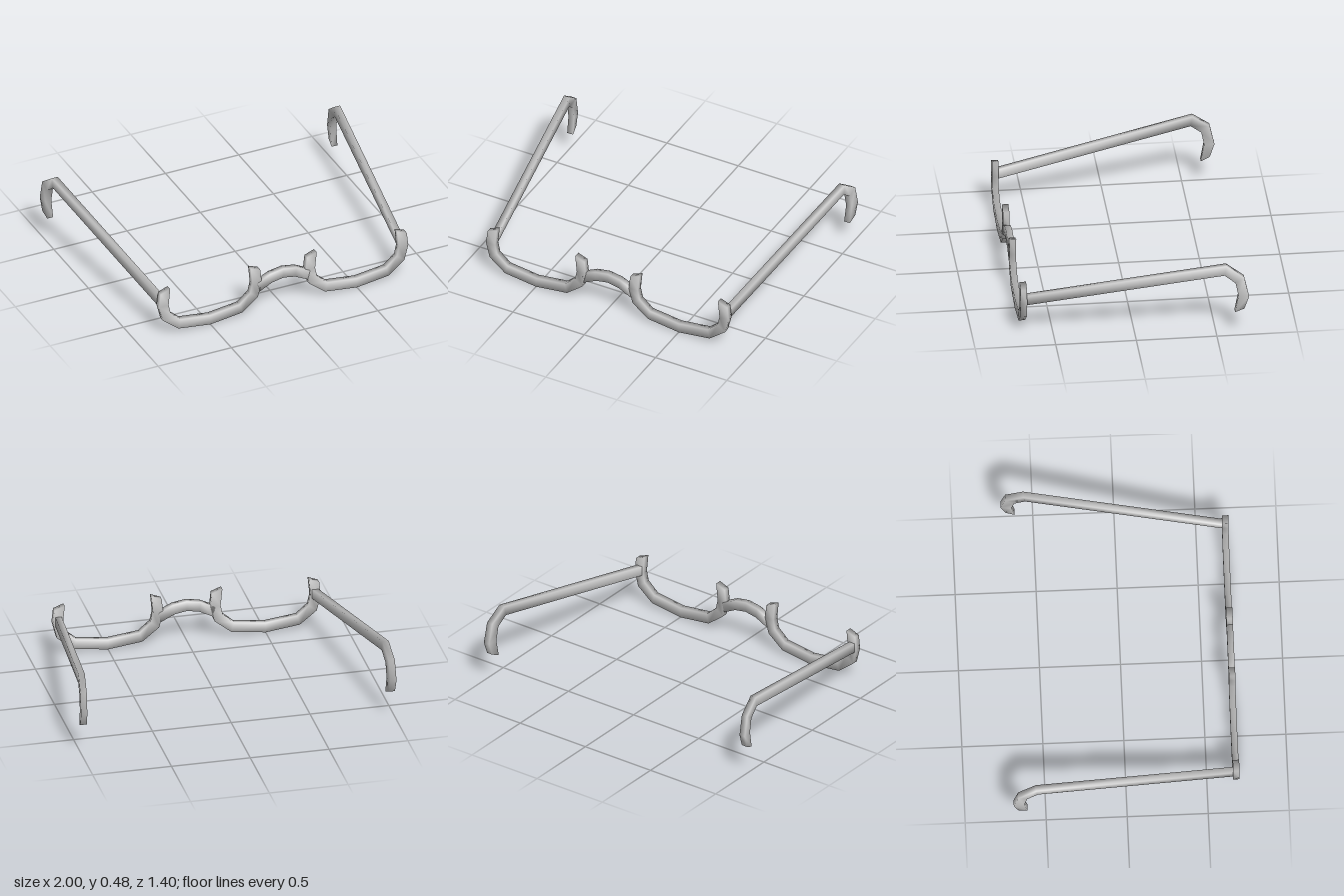
import * as THREE from 'three';

const metal = new THREE.MeshStandardMaterial({ color: 0xc8c8c8 });
metal.name = 'greyMetal';
const HALF = 0.02; // half thickness across the bending plane

// Square-cornered, smooth-shaded bar swept through stations [outerU, outerV, innerU, innerV];
// place(u, v, w) maps the bending plane and its normal w to x, y, z.
function bar(name, stations, place) {
  const pos = [], index = [];
  for (const [ou, ov, iu, iv] of stations) {
    pos.push(...place(ou, ov, -HALF), ...place(ou, ov, HALF));
    pos.push(...place(iu, iv, HALF), ...place(iu, iv, -HALF));
  }
  const quad = (a, b, c, d) => index.push(a, b, c, a, c, d);
  const last = (stations.length - 1) * 4;
  for (let a = 0; a < last; a += 4) {
    for (let j = 0; j < 4; j++) {
      const k = (j + 1) % 4;
      quad(a + j, a + k, a + 4 + k, a + 4 + j);
    }
  }
  // End caps
  quad(3, 2, 1, 0);
  quad(last, last + 1, last + 2, last + 3);

  // Turn the faces outward if the signed volume is negative
  let volume = 0;
  const p = (i) => new THREE.Vector3().fromArray(pos, i * 3);
  for (let i = 0; i < index.length; i += 3) {
    volume += p(index[i]).dot(p(index[i + 1]).cross(p(index[i + 2])));
  }
  if (volume < 0) index.reverse();

  const geo = new THREE.BufferGeometry();
  geo.setAttribute('position', new THREE.Float32BufferAttribute(pos, 3));
  geo.setIndex(index);
  geo.computeVertexNormals();
  const mesh = new THREE.Mesh(geo, metal);
  mesh.name = name;
  return mesh;
}

// Full symmetric run from one half that ends on the centre line
function mirrored(half) {
  const other = half.slice(0, -1).reverse().map(([a, b, c, d]) => [-a, b, -c, d]);
  return [...half, ...other];
}

export function createModel() {
  const group = new THREE.Group();
  group.name = 'halfMoonGlasses';

  // Half rims, u measured from each lens centre
  const rim = mirrored([
    [-0.34, 0.305, -0.275, 0.33],
    [-0.35, 0.215, -0.286, 0.217],
    [-0.324, 0.113, -0.272, 0.153],
    [-0.217, 0.028, -0.2, 0.09],
    [0, 0, 0, 0.065],
  ]);
  // Arched nose bridge
  const bridge = mirrored([
    [-0.18, 0.21, -0.165, 0.148],
    [-0.088, 0.255, -0.078, 0.192],
    [0, 0.27, 0, 0.206],
  ]);
  // Arm with its ear hook, u is z
  const arm = [
    [0.665, 0.258, 0.665, 0.196],
    [-0.562, 0.478, -0.55, 0.413],
    [-0.671, 0.397, -0.617, 0.36],
    [-0.7, 0.268, -0.635, 0.268],
    [-0.671, 0.183, -0.614, 0.157],
  ];

  group.add(bar('bridge', bridge, (u, v, w) => [u, v, 0.68 + w]));
  for (const [side, s] of [['left', 1], ['right', -1]]) {
    group.add(bar(side + 'Rim', rim, (u, v, w) => [s * 0.5 + u, v, 0.68 + w]));
    // Arms splay outward toward the back
    group.add(bar(side + 'Arm', arm, (z, y, w) => [s * (0.815 + (0.66 - z) * 0.122 + w), y, z]));
  }
  return group;
}
